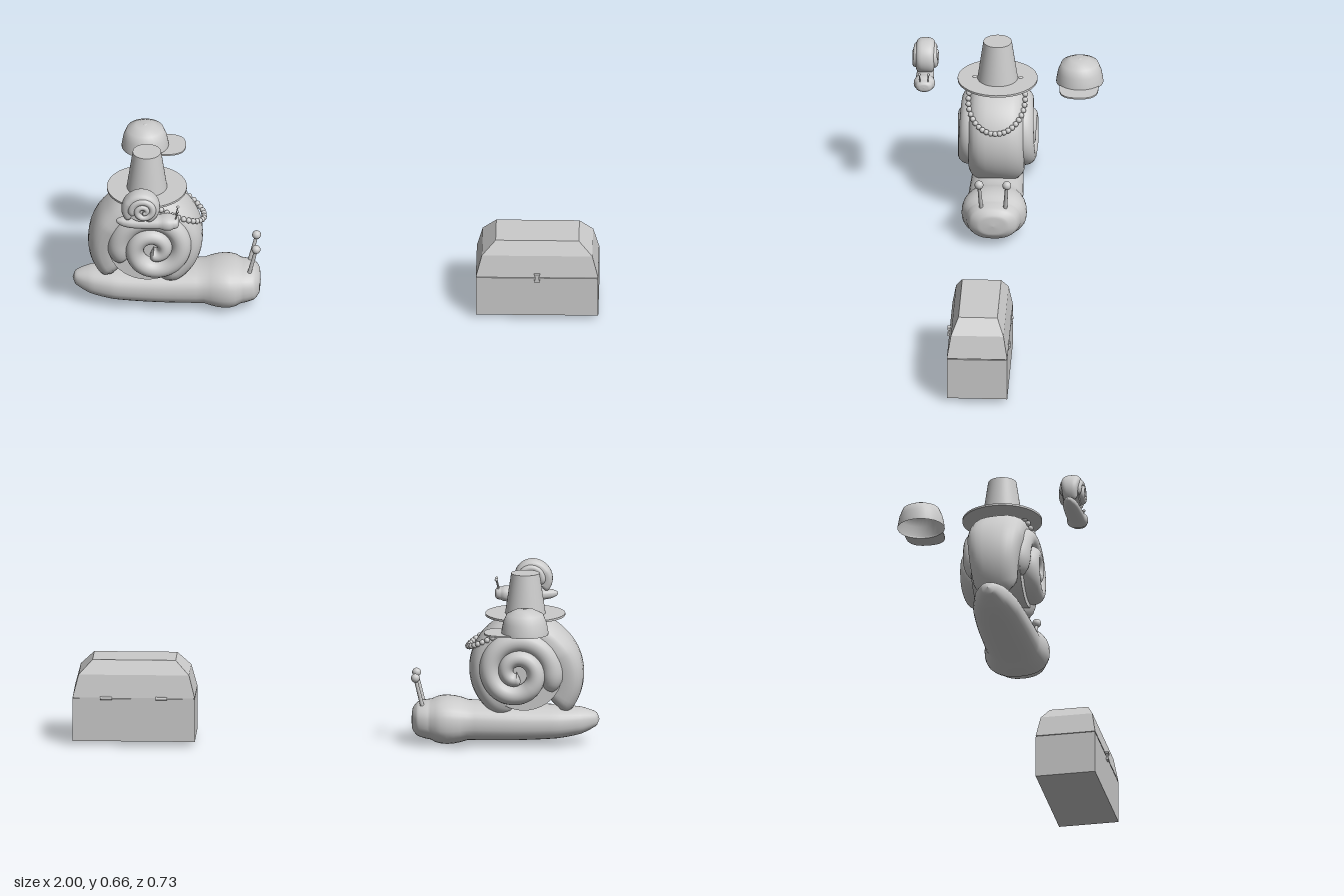
import * as THREE from 'three';

const grey = new THREE.MeshStandardMaterial({ color: 0xcccccc });
const greyDouble = new THREE.MeshStandardMaterial({ color: 0xcccccc, side: THREE.DoubleSide });
const greyFlat = new THREE.MeshStandardMaterial({ color: 0xcccccc, flatShading: true });

function add(parent, name, geometry, x = 0, y = 0, z = 0, material = grey) {
  const mesh = new THREE.Mesh(geometry, material);
  mesh.name = name;
  mesh.position.set(x, y, z);
  parent.add(mesh);
  return mesh;
}

// Skin over closed cross-sections; point(u, angle) gives [x, y, z]
function loft(point, along, around) {
  const pos = [], idx = [];
  for (let i = 0; i <= along; i++)
    for (let j = 0; j < around; j++) pos.push(...point(i / along, (j / around) * Math.PI * 2));
  for (let i = 0; i < along; i++)
    for (let j = 0; j < around; j++) {
      const a = i * around + j, b = i * around + ((j + 1) % around);
      idx.push(a, b, a + around, b, b + around, a + around);
    }
  // Turn the faces outward if the enclosed volume is negative
  const v = k => new THREE.Vector3().fromArray(pos, k * 3);
  let volume = 0;
  for (let i = 0; i < idx.length; i += 3) volume += v(idx[i]).dot(v(idx[i + 1]).cross(v(idx[i + 2])));
  if (volume < 0) idx.reverse();
  const g = new THREE.BufferGeometry();
  g.setAttribute('position', new THREE.Float32BufferAttribute(pos, 3));
  g.setIndex(idx);
  g.computeVertexNormals();
  return g;
}

const squash = (v, p) => Math.sign(v) * Math.abs(v) ** p;
// Rounds off both ends of a sweep: 0 at the tips, 1 in between
const roundEnds = (u, a, b) =>
  Math.sqrt(Math.max(0, 1 - Math.max(0, 1 - u / a) ** 2)) * Math.sqrt(Math.max(0, 1 - Math.max(0, 1 - (1 - u) / b) ** 2));

// Coil around the z axis, clockwise seen from +z
function coil(from, to, radius, offset, radial, axial, ends, power, along) {
  return loft((u, a) => {
    const t = THREE.MathUtils.degToRad(from + (to - from) * u), e = roundEnds(u, ...ends);
    const r = radius(u) + radial(u) * e * squash(Math.cos(a), power);
    return [r * Math.cos(t), r * Math.sin(t), offset(u) + axial(u) * e * squash(Math.sin(a), power)];
  }, along, 24);
}

function rod(parent, name, a, b, r) {
  const from = new THREE.Vector3(...a), to = new THREE.Vector3(...b);
  const mesh = add(parent, name, new THREE.CylinderGeometry(r * 0.8, r, from.distanceTo(to), 12));
  mesh.position.copy(from).lerp(to, 0.5);
  mesh.quaternion.setFromUnitVectors(new THREE.Vector3(0, 1, 0), to.sub(from).normalize());
}

function snail(name) {
  const g = new THREE.Group();
  g.name = name;
  // Body sections: x, centre height, half height, half width
  const sections = [
    [-1, 0.085, 0, 0], [-0.99, 0.085, 0.024, 0.027], [-0.93, 0.079, 0.05, 0.064], [-0.84, 0.074, 0.062, 0.088],
    [-0.68, 0.073, 0.069, 0.1], [-0.5, 0.077, 0.074, 0.105], [-0.36, 0.078, 0.074, 0.105],
    [-0.31, 0.08, 0.063, 0.09], [-0.289, 0.08, 0.038, 0.055], [-0.285, 0.08, 0, 0]];
  const centre = new THREE.CatmullRomCurve3(sections.map(s => new THREE.Vector3(s[0], s[1], 0)));
  const size = new THREE.CatmullRomCurve3(sections.map(s => new THREE.Vector3(s[2], s[3], 0)));
  add(g, 'body', loft((u, a) => {
    const c = centre.getPoint(u), s = size.getPoint(u);
    return [c.x, c.y + s.x * squash(Math.sin(a), 0.85), s.y * squash(Math.cos(a), 0.85)];
  }, 54, 32));

  const shell = new THREE.Group();
  shell.name = 'shell';
  shell.position.set(-0.715, 0.285, 0);
  g.add(shell);
  // Broad outer whorl, flaring where it meets the tail
  add(shell, 'outerWhorl', coil(232, -80,
    u => 0.137 + 0.035 * Math.max(0, 1 - u / 0.3), () => 0,
    () => 0.073, u => 0.108 - 0.03 * Math.max(0, 1 - u / 0.25), [0.04, 0.1], 0.75, 72));
  add(shell, 'shellCore', new THREE.CylinderGeometry(0.15, 0.15, 0.19, 40)).rotation.x = Math.PI / 2;
  // Spiral ridges on both sides
  const ridge = coil(215, -480,
    u => 0.137 - 0.118 * u ** 1.05, u => 0.078 + 0.035 * Math.min(1, u * 2),
    u => 0.046 - 0.02 * u, u => 0.05 - 0.018 * u, [0.05, 0.04], 1, 120);
  add(shell, 'spiralLeft', ridge, 0.025);
  add(shell, 'spiralRight', ridge, 0.025).scale.z = -1;

  for (const s of [-1, 1]) {
    rod(g, 'eyeStalk', [-0.33, 0.13, s * 0.045], [-0.302, 0.245, s * 0.053], 0.008);
    add(g, 'eye', new THREE.SphereGeometry(0.017, 16, 12), -0.302, 0.248, s * 0.053);
  }
  return g;
}

function chest() {
  const g = new THREE.Group();
  g.name = 'chest';
  g.position.set(0.767, 0, 0.037);
  add(g, 'chestBox', new THREE.BoxGeometry(0.465, 0.165, 0.23), 0, 0.0875, 0);
  add(g, 'seam', new THREE.BoxGeometry(0.455, 0.01, 0.222), 0, 0.172, 0);
  // Lid of stacked rectangles: height, half length, half depth
  const levels = [[0.174, 0, 0], [0.174, 0.2325, 0.115], [0.26, 0.21, 0.1], [0.313, 0.158, 0.074], [0.313, 0, 0]];
  const lid = loft((u, a) => {
    const [y, hx, hz] = levels[Math.round(u * 4)];
    const c = a + Math.PI / 4;
    return [hx * Math.sign(Math.cos(c)), y, hz * Math.sign(Math.sin(c))];
  }, 4, 4);
  add(g, 'lid', lid.toNonIndexed(), 0, 0, 0, greyFlat);
  // Latch in front, hinges at the back
  add(g, 'latchPlate', new THREE.BoxGeometry(0.016, 0.034, 0.008), 0, 0.173, 0.117);
  for (const y of [0.16, 0.186]) add(g, 'latchCatch', new THREE.BoxGeometry(0.022, 0.008, 0.012), 0, y, 0.117);
  for (const x of [-0.105, 0.105]) {
    add(g, 'hinge', new THREE.CylinderGeometry(0.006, 0.006, 0.045, 12), x, 0.172, -0.116).rotation.z = Math.PI / 2;
    add(g, 'hingePlate', new THREE.BoxGeometry(0.034, 0.022, 0.004), x, 0.172, -0.115);
  }
  return g;
}

function brimmedHat() {
  const g = new THREE.Group();
  g.name = 'brimmedHat';
  g.position.set(-0.718, 0.487, 0.038);
  add(g, 'brim', new THREE.CylinderGeometry(0.152, 0.152, 0.008, 48), 0, 0.004, 0);
  add(g, 'crown', new THREE.CylinderGeometry(0.054, 0.077, 0.156, 48), 0, 0.085, 0);
  return g;
}

function cap() {
  const g = new THREE.Group();
  g.name = 'cap';
  g.position.set(-0.73, 0.482, -0.274);
  const profile = [[0.09, 0], [0.089, 0.012], [0.083, 0.045], [0.07, 0.077], [0.036, 0.094], [0, 0.095]];
  add(g, 'capDome', new THREE.LatheGeometry(profile.map(p => new THREE.Vector2(...p)), 32), 0, 0, 0, greyDouble);
  add(g, 'capButton', new THREE.SphereGeometry(0.009, 12, 8), 0, 0.093, 0).scale.y = 0.45;
  // Visor with a crescent inner edge that follows the dome
  const s = new THREE.Shape();
  s.moveTo(0.05, -0.073);
  s.bezierCurveTo(0.13, -0.08, 0.155, -0.055, 0.155, 0);
  s.bezierCurveTo(0.155, 0.055, 0.13, 0.08, 0.05, 0.073);
  s.absarc(0, 0, 0.0885, Math.atan2(0.073, 0.05), -Math.atan2(0.073, 0.05), true);
  const visor = new THREE.ExtrudeGeometry(s, { depth: 0.006, bevelEnabled: false, curveSegments: 16 });
  add(g, 'visor', visor.rotateX(-Math.PI / 2));
  return g;
}

// Tilted oval string of beads; it vanishes under the hat brim
function necklace() {
  const g = new THREE.Group();
  g.name = 'necklace';
  const bead = new THREE.SphereGeometry(0.0108, 14, 10), count = 40;
  for (let i = 0; i < count; i++) {
    const a = (i / count) * Math.PI * 2, c = Math.cos(a);
    if (c > -0.6) add(g, 'bead', bead, -0.64 + 0.14 * c, 0.443 - 0.078 * c, 0.038 + 0.108 * Math.sin(a));
  }
  return g;
}

export function createModel() {
  const model = new THREE.Group();
  model.name = 'snailWithAccessories';
  const big = snail('bigSnail');
  big.position.z = 0.037;
  const small = snail('smallSnail');
  small.scale.set(0.336, 0.325, 0.325);
  small.position.set(-0.494, 0.483, 0.313);
  model.add(big, small, brimmedHat(), necklace(), cap(), chest());
  return model;
}
